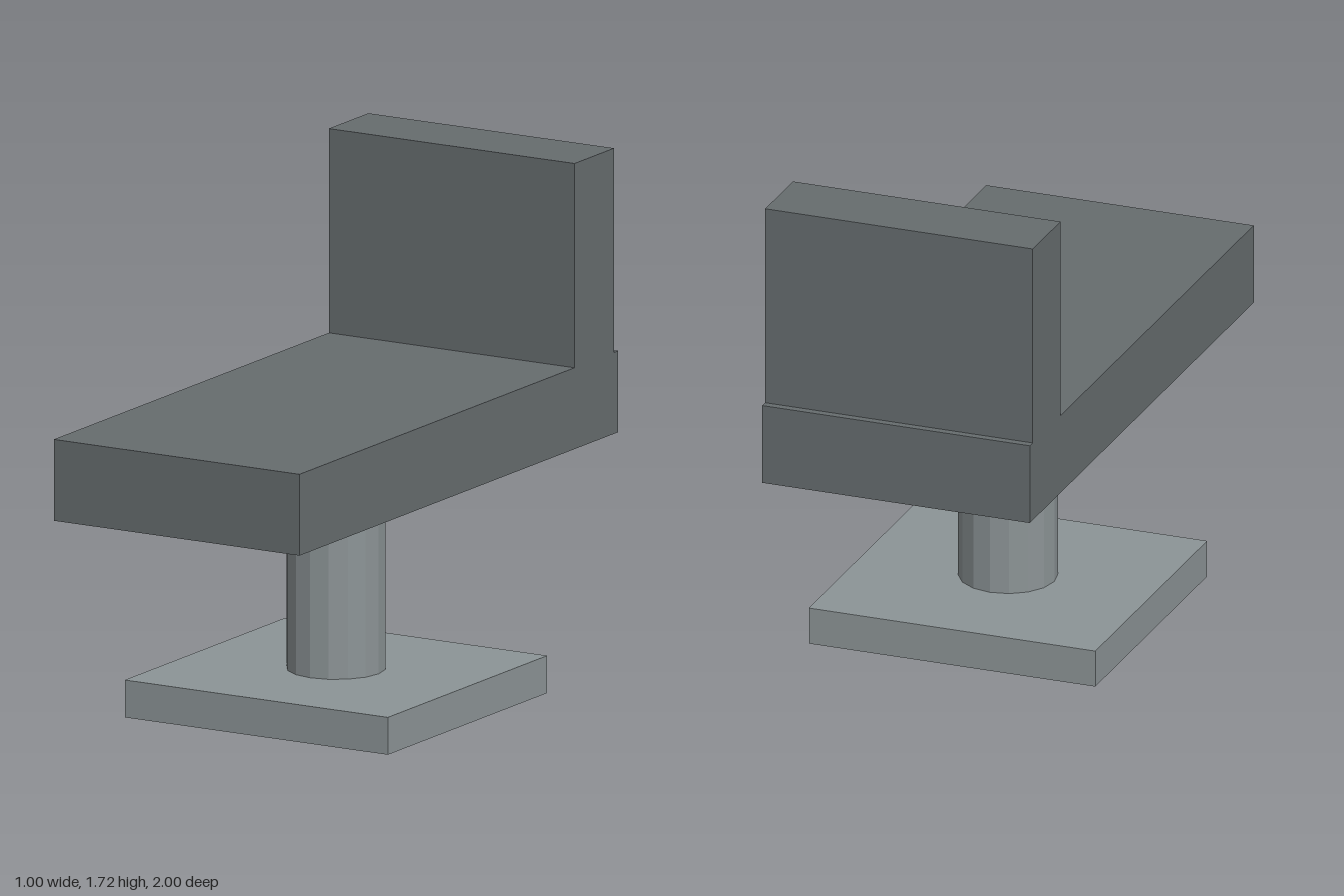
import * as THREE from 'three';

export function createModel() {
  const model = new THREE.Group();
  model.name = 'pedestalSeat';

  const darkGrey = new THREE.MeshStandardMaterial({ color: 0x666c6e });
  darkGrey.name = 'darkGrey';
  const lightGrey = new THREE.MeshStandardMaterial({ color: 0x8c9496 });
  lightGrey.name = 'lightGrey';
  lightGrey.flatShading = true;

  function addPart(name, geometry, material, y, z = 0) {
    const mesh = new THREE.Mesh(geometry, material);
    mesh.name = name;
    mesh.position.set(0, y, z);
    model.add(mesh);
  }

  // Square foot plate and faceted column
  addPart('basePlate', new THREE.BoxGeometry(1, 0.125, 1), lightGrey, 0.0625);
  addPart('column', new THREE.CylinderGeometry(0.162, 0.162, 0.64, 16, 1, true), lightGrey, 0.445);

  // Long cushion with an upright backrest, set slightly in from the rear edge
  addPart('seat', new THREE.BoxGeometry(0.934, 0.272, 2), darkGrey, 0.901);
  addPart('backrest', new THREE.BoxGeometry(0.934, 0.683, 0.248), darkGrey, 1.3785, -0.85);

  return model;
}
